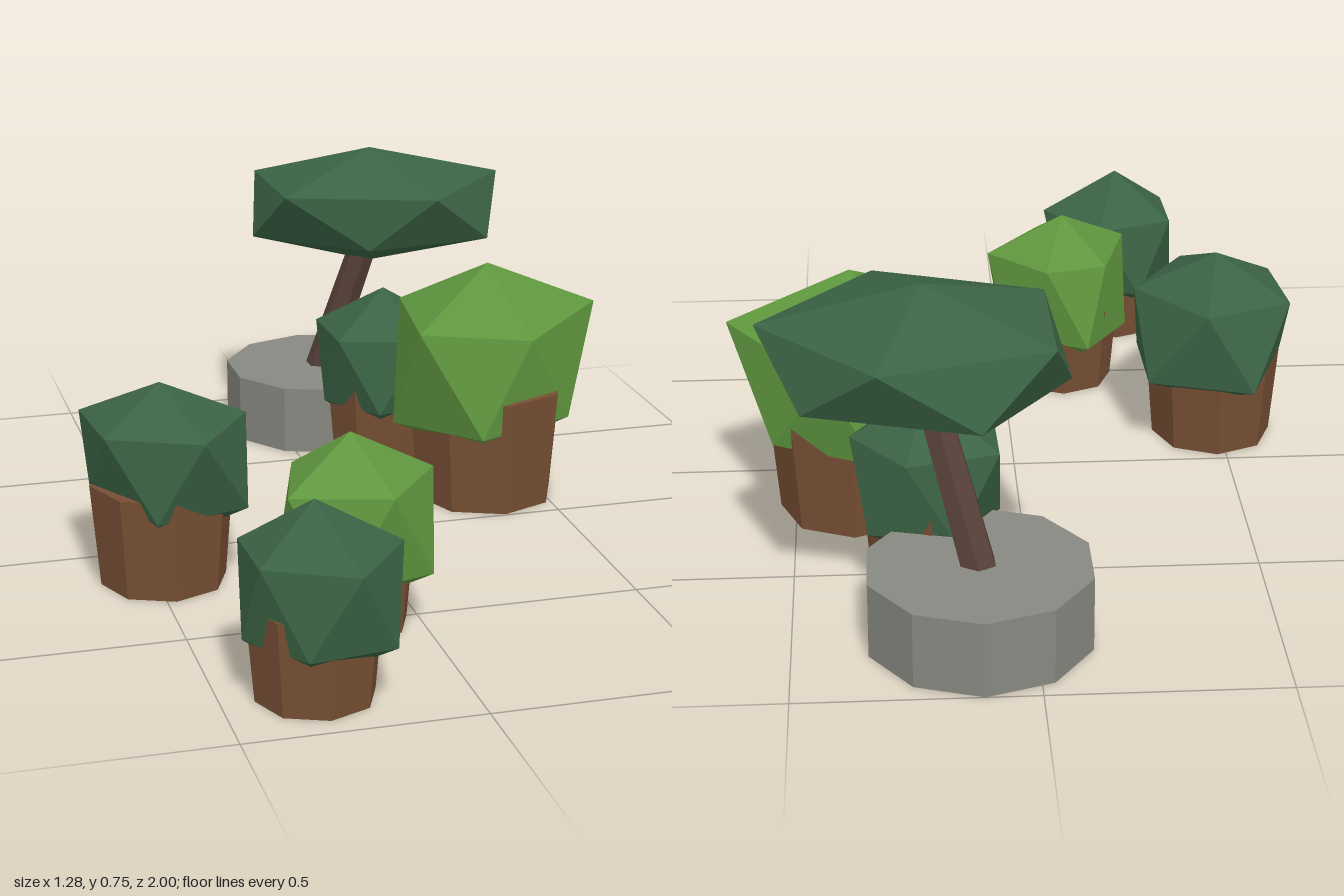
import * as THREE from 'three';

const flat = (name, color) => {
  const m = new THREE.MeshStandardMaterial({ color, flatShading: true });
  m.name = name;
  return m;
};

// Faceted crown: a peak, two staggered rings of five [x, z, optional y] points and a base point
function crownGeometry(peak, base, upper, upperY, lower, lowerY) {
  const u = upper.map(([x, z, y = upperY]) => [x, y, z]);
  const l = lower.map(([x, z, y = lowerY]) => [x, y, z]);
  const pos = [];
  const tri = (...corners) => corners.forEach((c) => pos.push(...c));
  for (let i = 0; i < 5; i++) {
    const j = (i + 1) % 5;
    tri(peak, u[j], u[i]);
    tri(u[i], u[j], l[i]);
    tri(l[i], u[j], l[j]);
    tri(base, l[i], l[j]);
  }
  const g = new THREE.BufferGeometry();
  g.setAttribute('position', new THREE.Float32BufferAttribute(pos, 3));
  g.computeVertexNormals();
  return g;
}

export function createModel() {
  const model = new THREE.Group();
  const darkGreen = flat('darkGreen', 0x3b6344);
  const lightGreen = flat('lightGreen', 0x5f963e);
  const potBrown = flat('potBrown', 0x774f34);
  const bark = flat('bark', 0x59423a);
  const stone = flat('stone', 0x888882);

  const add = (parent, name, geometry, material) => {
    const mesh = new THREE.Mesh(geometry, material);
    mesh.name = name;
    parent.add(mesh);
    return mesh;
  };

  // Potted bushes: tapered eight-sided pot with a faceted crown
  const bushes = [
    {
      name: 'leftBush', x: -0.48, z: 0.16, r: 0.14, mat: darkGreen, top: 0.455,
      upper: [[-0.29, 0.16], [-0.42, 0.35], [-0.62, 0.26], [-0.64, 0.05], [-0.44, -0.03]], upperY: 0.37,
      lower: [[-0.31, 0.26], [-0.52, 0.315], [-0.635, 0.14, 0.22], [-0.55, -0.045], [-0.315, 0.03]], lowerY: 0.185,
    },
    {
      name: 'frontBush', x: -0.307, z: 0.825, r: 0.124, mat: darkGreen, top: 0.415,
      upper: [[-0.125, 0.825], [-0.255, 0.995], [-0.435, 0.9], [-0.44, 0.73], [-0.255, 0.66]], upperY: 0.31,
      lower: [[-0.17, 0.945], [-0.355, 0.97], [-0.455, 0.825], [-0.36, 0.665], [-0.165, 0.72]], lowerY: 0.135,
    },
    {
      name: 'middleBush', x: -0.145, z: 0.495, r: 0.124, mat: lightGreen, top: 0.425,
      upper: [[0.037, 0.49], [-0.095, 0.66], [-0.305, 0.6], [-0.245, 0.39], [-0.1, 0.355]], upperY: 0.33,
      lower: [[0.005, 0.605], [-0.21, 0.665], [-0.305, 0.49], [-0.2, 0.335], [-0.01, 0.42]], lowerY: 0.135,
    },
    {
      name: 'backBush', x: 0.21, z: -0.5, r: 0.124, mat: darkGreen, top: 0.43,
      upper: [[0.375, -0.5], [0.27, -0.34], [0.07, -0.4], [0.065, -0.6], [0.26, -0.65]], upperY: 0.33,
      lower: [[0.34, -0.4], [0.16, -0.35], [0.06, -0.5], [0.16, -0.645], [0.34, -0.6]], lowerY: 0.15,
    },
    {
      name: 'largeBush', x: 0.37, z: -0.17, r: 0.166, mat: lightGreen, top: 0.57,
      upper: [[0.64, -0.175], [0.43, -0.01, 0.42], [0.16, -0.015], [0.2, -0.32], [0.425, -0.37, 0.39]], upperY: 0.455,
      lower: [[0.55, -0.085], [0.3, 0.03], [0.137, -0.155], [0.315, -0.385], [0.545, -0.27]], lowerY: 0.2,
    },
  ];
  for (const b of bushes) {
    const bush = new THREE.Group();
    bush.name = b.name;
    const h = b.r * 1.66;
    add(bush, 'pot', new THREE.CylinderGeometry(b.r * 1.14, b.r, h, 8), potBrown).position.set(b.x, h / 2, b.z);
    const base = [b.x, b.lowerY - 0.1, b.z];
    add(bush, 'crown', crownGeometry([b.x, b.top, b.z], base, b.upper, b.upperY, b.lower, b.lowerY), b.mat);
    model.add(bush);
  }

  // Leaning tree on a round stone slab
  const tree = new THREE.Group();
  tree.name = 'leaningTree';
  add(tree, 'stoneSlab', new THREE.CylinderGeometry(0.24, 0.24, 0.165, 10), stone).position.set(0.115, 0.0825, -0.76);

  const foot = new THREE.Vector3(0.115, 0.15, -0.755);
  const lean = new THREE.Vector3(0.215, 0.53, -0.66).sub(foot);
  const trunk = add(tree, 'trunk', new THREE.CylinderGeometry(0.034, 0.04, lean.length(), 6), bark);
  trunk.position.copy(foot).addScaledVector(lean, 0.5);
  trunk.quaternion.setFromUnitVectors(new THREE.Vector3(0, 1, 0), lean.normalize());

  const upper = [[0.555, -0.67], [0.32, -0.405], [-0.03, -0.525], [-0.035, -0.83], [0.315, -0.93]];
  const lower = [[0.48, -0.505], [0.165, -0.46], [-0.077, -0.675], [0.115, -0.925], [0.465, -0.82]];
  add(tree, 'treeCrown', crownGeometry([0.222, 0.745, -0.67], [0.22, 0.455, -0.67], upper, 0.665, lower, 0.535), darkGreen);
  model.add(tree);

  return model;
}
